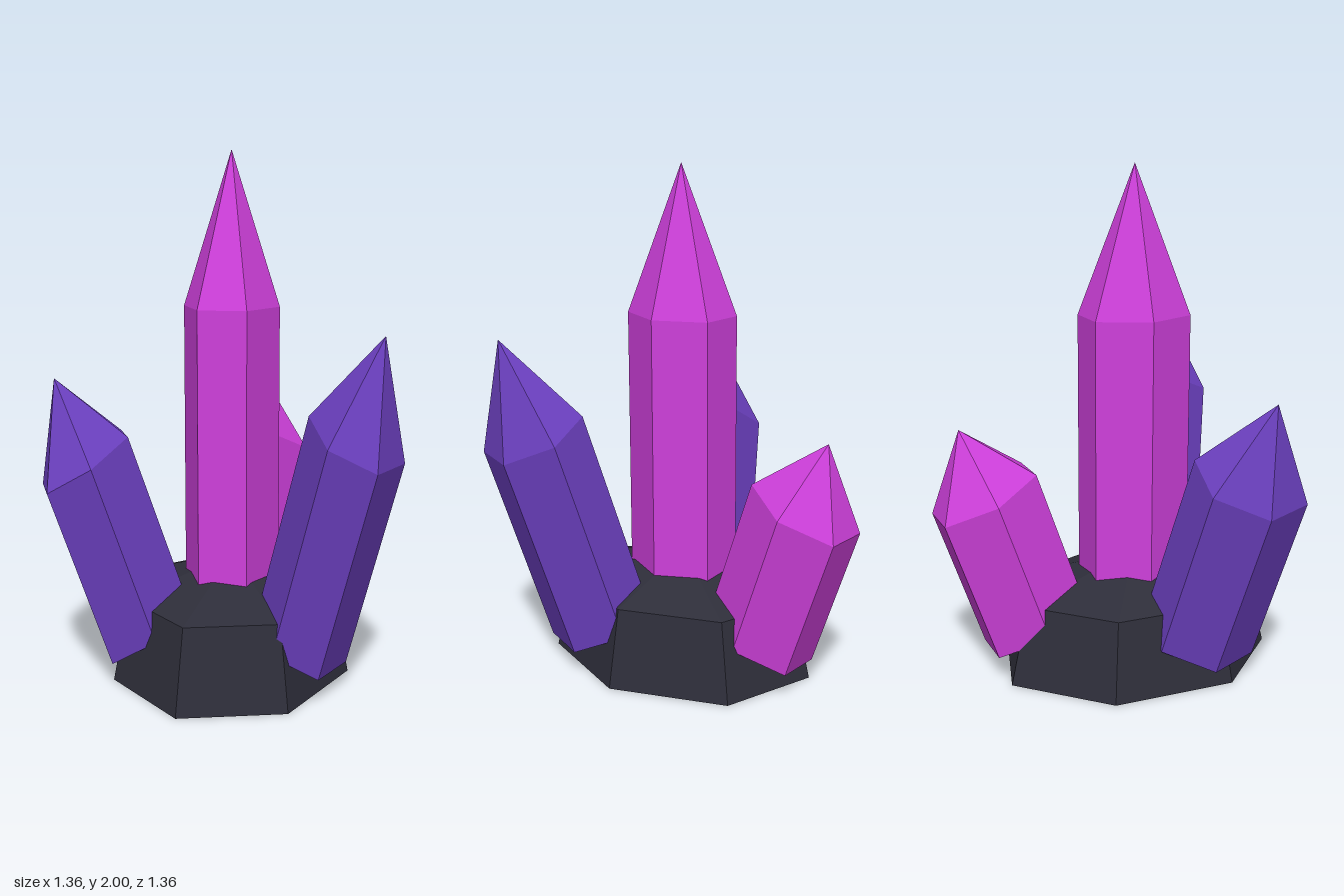
import * as THREE from 'three';

const paint = (name, color) => {
  const m = new THREE.MeshStandardMaterial({ color, flatShading: true });
  m.name = name;
  return m;
};

// Faceted solid of revolution from [radius, height] points
const faceted = (points, sides, start = 0) =>
  new THREE.LatheGeometry(points.map(([r, y]) => new THREE.Vector2(r, y)), sides, start);

// Six-sided pointed prism. shoulder: centre of the ring below the tip,
// axis: from foot to shoulder, u and c: neighbouring corners of the ring.
function crystal(name, material, { shoulder, axis, u, c }) {
  const [S, A, U, C] = [shoulder, axis, u, c].map((p) => new THREE.Vector3(...p));
  const side = C.addScaledVector(U, -0.5).divideScalar(Math.sin(Math.PI / 3));
  const geometry = faceted([[0, 0], [1, 0], [1, 1], [0, 1.47]], 6);
  geometry.applyMatrix4(new THREE.Matrix4().makeBasis(side, A, U).setPosition(S.sub(A)));
  geometry.computeVertexNormals();
  const mesh = new THREE.Mesh(geometry, material);
  mesh.name = name;
  return mesh;
}

export function createModel() {
  const rock = paint('dark rock', 0x2e2e3a);
  const magenta = paint('magenta crystal', 0xcf40dc);
  const violet = paint('violet crystal', 0x6c40c0);
  const group = new THREE.Group();
  group.name = 'crystalCluster';

  // Seven-sided rock with a shallow peaked top
  const base = new THREE.Mesh(
    faceted([[0, 0], [1, 0], [0.87, 0.313], [0, 0.45]], 7, Math.PI / 2).scale(0.46, 1, 0.575), rock);
  base.name = 'rockBase';
  base.position.z = 0.12;
  group.add(base);

  // Upright main crystal and the three leaning ones
  group.add(
    crystal('mainCrystal', magenta, {
      shoulder: [0, 1.42, 0.12], axis: [0, 1.234, 0], u: [0.184, 0, 0], c: [0.092, 0, -0.199],
    }),
    crystal('backCrystal', magenta, {
      shoulder: [0.03, 0.756, -0.495], axis: [0, 0.568, -0.2], u: [0.184, 0, 0], c: [0.092, -0.082, -0.183],
    }),
    crystal('leftCrystal', violet, {
      shoulder: [0.507, 0.987, 0.449], axis: [0.208, 0.8, 0.136], u: [0.087, -0.082, 0.184], c: [0.169, -0.082, -0.016],
    }),
    crystal('rightCrystal', violet, {
      shoulder: [-0.511, 0.857, 0.373], axis: [-0.205, 0.67, 0.1], u: [-0.169, -0.097, -0.008], c: [-0.085, -0.085, 0.194],
    }),
  );
  return group;
}
